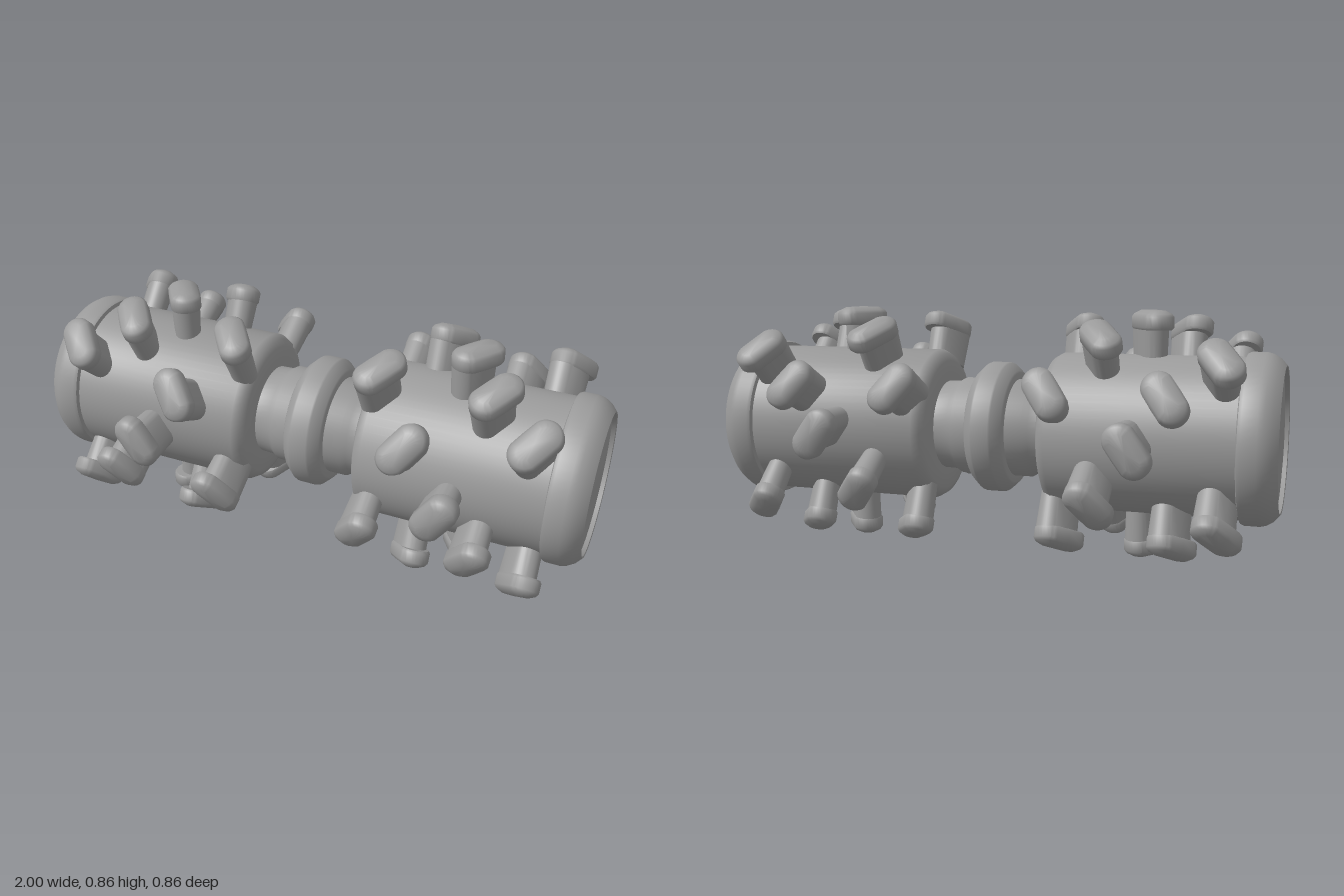
import * as THREE from 'three';
import { toCreasedNormals } from 'three/addons/utils/BufferGeometryUtils.js';

const AXIS_Y = 0.43;
const LEAN = 0.95;
const material = new THREE.MeshStandardMaterial({ color: 0x9a9a9a });

// Revolve [radius, height] points, listed bottom to top, around y
function revolve(points, segments) {
  const profile = points.map(([r, h]) => new THREE.Vector2(r, h));
  return new THREE.LatheGeometry(profile, segments);
}

function part(name, geometry) {
  const mesh = new THREE.Mesh(toCreasedNormals(geometry, 0.7), material);
  mesh.name = name;
  return mesh;
}

// Lay a revolved shape along +x
const alongX = (geometry) => geometry.rotateZ(-Math.PI / 2);

// Round shape pulled apart along x into a rounded bar, pointing along +z
function oval(points, stretch, offset, lean) {
  const g = revolve(points, 32);
  const p = g.attributes.position;
  for (let i = 0; i < p.count; i++) {
    const x = p.getX(i);
    const shift = Math.abs(x) < 1e-4 ? 0 : Math.sign(x) * stretch;
    p.setX(i, x + shift + offset);
  }
  return g.rotateX(Math.PI / 2).rotateZ(lean);
}

// Stud: a stem set towards the heel of a longer, domed head
function buildStud(lean) {
  const stud = new THREE.Group();
  stud.name = 'stud';
  stud.add(part('studStem', oval([
    [0, 0.24], [0.045, 0.24], [0.05, 0.38], [0, 0.38],
  ], 0.03, -0.015, lean)));
  stud.add(part('studHead', oval([
    [0, 0.362], [0.049, 0.362], [0.055, 0.37], [0.055, 0.405],
    [0.047, 0.416], [0.025, 0.427], [0, 0.43],
  ], 0.041, 0, lean)));
  return stud;
}

// Stud rings: distance along the axle, angle above the front
const rings = [[0.27, -25], [0.415, 30], [0.55, 0], [0.66, -25], [0.82, 45]];

function buildSide(side) {
  const group = new THREE.Group();
  group.name = side > 0 ? 'leftDrum' : 'rightDrum';

  // Drum body with a rounded inner shoulder, a bevelled end rim and a recessed disc
  const drum = alongX(revolve([
    [0, 0.2], [0.18, 0.2], [0.235, 0.203], [0.26, 0.214],
    [0.275, 0.24], [0.275, 0.87], [0.288, 0.874], [0.293, 0.885],
    [0.293, 0.935], [0.288, 0.955], [0.273, 0.98], [0.25, 1],
    [0.245, 0.998], [0.243, 0.983], [0.15, 0.99], [0, 0.994],
  ], 64));
  if (side < 0) drum.rotateY(Math.PI);
  group.add(part('drumBody', drum));

  // Four studs in each ring, with toes turned towards the drum's outer end
  const stud = buildStud(side > 0 ? LEAN : Math.PI - LEAN);
  for (const [x, angle] of rings) {
    const ring = new THREE.Group();
    ring.name = 'studRing';
    ring.position.x = side * x;
    for (let i = 0; i < 4; i++) {
      const copy = stud.clone();
      copy.rotation.x = -THREE.MathUtils.degToRad(angle + 90 * i);
      ring.add(copy);
    }
    group.add(ring);
  }
  return group;
}

export function createModel() {
  const model = new THREE.Group();
  model.name = 'studdedRoller';
  const roller = new THREE.Group();
  roller.name = 'roller';
  roller.position.y = AXIS_Y;
  model.add(roller);

  // Stepped axle between the drums
  roller.add(part('axle', alongX(revolve([
    [0, -0.21], [0.16, -0.21], [0.162, -0.15], [0.175, -0.13],
    [0.175, 0.13], [0.162, 0.15], [0.16, 0.21], [0, 0.21],
  ], 48))));

  // Middle collar with bevelled edges
  roller.add(part('collar', alongX(revolve([
    [0.15, -0.07], [0.198, -0.07], [0.205, -0.066], [0.232, -0.037],
    [0.235, -0.03], [0.235, 0.03], [0.232, 0.037], [0.205, 0.066],
    [0.198, 0.07], [0.15, 0.07],
  ], 48))));

  roller.add(buildSide(1), buildSide(-1));
  return model;
}
